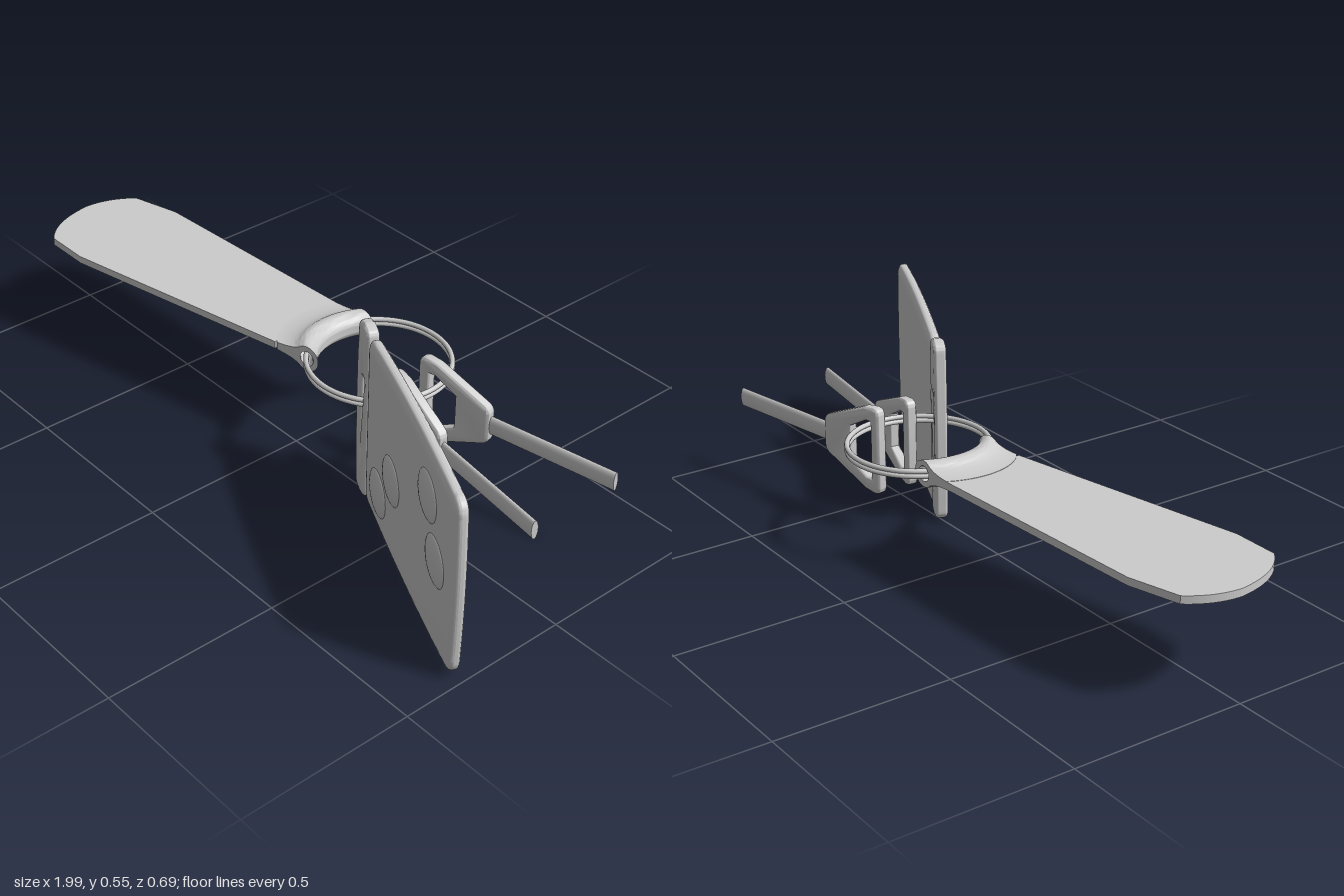
import * as THREE from 'three';
import { toCreasedNormals } from 'three/addons/utils/BufferGeometryUtils.js';

const material = new THREE.MeshStandardMaterial({ color: 0xcccccc });

function add(parent, name, geometry, x = 0, y = 0, z = 0) {
  const mesh = new THREE.Mesh(geometry, material);
  mesh.name = name;
  mesh.position.set(x, y, z);
  parent.add(mesh);
  return mesh;
}

// Rectangle with soft corners and slightly bulging sides
function pillow(Target, x0, x1, y0, y1, r, bulgeL, bulgeR, bulgeY) {
  const s = new Target(), mx = (x0 + x1) / 2, my = (y0 + y1) / 2;
  s.moveTo(x0 + r, y0);
  s.quadraticCurveTo(mx, y0 - bulgeY, x1 - r, y0);
  s.quadraticCurveTo(x1, y0, x1, y0 + r);
  s.quadraticCurveTo(x1 + bulgeR, my, x1, y1 - r);
  s.quadraticCurveTo(x1, y1, x1 - r, y1);
  s.quadraticCurveTo(mx, y1 + bulgeY, x0 + r, y1);
  s.quadraticCurveTo(x0, y1, x0, y1 - r);
  s.quadraticCurveTo(x0 - bulgeL, my, x0, y0 + r);
  s.quadraticCurveTo(x0, y0, x0 + r, y0);
  return s;
}

// Plate centred on z = 0 whose bevel stays inside the outline
function plate(shape, thickness, bevel, bevelDepth) {
  const depth = thickness - 2 * bevelDepth;
  const g = new THREE.ExtrudeGeometry(shape, {
    depth, bevelSize: bevel, bevelOffset: -bevel, bevelThickness: bevelDepth,
    bevelSegments: 5, curveSegments: 12,
  });
  g.translate(0, 0, -depth / 2);
  return toCreasedNormals(g, 0.7);
}

function makeStrap() {
  const strap = new THREE.Group();
  strap.name = 'strap';

  // Flat tongue
  const s = new THREE.Shape();
  s.moveTo(-0.06, -0.235);
  s.lineTo(-0.8, -0.195);
  s.lineTo(-0.945, -0.155);
  s.quadraticCurveTo(-0.998, -0.09, -1, -0.01);
  s.quadraticCurveTo(-0.985, 0.12, -0.905, 0.175);
  s.lineTo(-0.77, 0.175);
  s.lineTo(-0.06, 0.026);
  const tongue = new THREE.ExtrudeGeometry(s, { depth: 0.022, bevelEnabled: false });
  tongue.rotateX(Math.PI / 2);
  add(strap, 'strapTongue', toCreasedNormals(tongue, 0.5), 0, 0.318, 0);

  // Hollow folded end, bent to follow the ring
  const p = new THREE.Shape();
  p.moveTo(-0.1, 0.012);
  p.lineTo(-0.1, -0.012);
  p.quadraticCurveTo(-0.05, -0.014, -0.027, -0.027);
  p.absarc(0, 0, 0.038, -Math.PI * 0.75, Math.PI * 0.75, false);
  p.quadraticCurveTo(-0.05, 0.014, -0.1, 0.012);
  p.holes.push(new THREE.Path().absarc(0, 0, 0.022, 0, Math.PI * 2, true));
  const fold = new THREE.ExtrudeGeometry(p, { depth: 1, steps: 14, bevelEnabled: false, curveSegments: 20 });
  const pos = fold.attributes.position;
  for (let i = 0; i < pos.count; i++) {
    const t = pos.getZ(i), dz = -0.24 + 0.25 * t + 0.14;
    const x = pos.getX(i) + 0.18 - Math.sqrt(0.04 - dz * dz);
    pos.setX(i, x);
    pos.setZ(i, THREE.MathUtils.lerp(-0.238 - 0.05 * x, 0.013 - 0.21 * x, t));
  }
  add(strap, 'strapFold', toCreasedNormals(fold, 0.7), 0, 0.307, 0);
  return strap;
}

function makeFob() {
  const fob = new THREE.Group();
  fob.name = 'remoteFob';
  fob.position.set(0.622, 0.279, 0.16);
  fob.rotation.y = -0.443;

  add(fob, 'fobBody', plate(
    pillow(THREE.Shape, -0.318, 0.402, -0.262, 0.262, 0.05, 0, 0.016, 0.026), 0.038, 0.035, 0.015));

  // Slotted end that hangs on the ring
  const end = pillow(THREE.Shape, -0.4, -0.317, -0.268, 0.268, 0.03, 0.02, 0, 0.006);
  end.holes.push(pillow(THREE.Path, -0.367, -0.336, -0.107, 0.107, 0.012, 0, 0, 0));
  add(fob, 'fobEnd', plate(end, 0.036, 0.012, 0.012));

  // Domed push buttons
  for (const [x, y] of [[0.198, 0.137], [0.27, -0.005], [-0.083, -0.03], [-0.19, -0.149]]) {
    const button = add(fob, 'button', new THREE.SphereGeometry(1, 32, 16), x, y, 0.017);
    button.scale.set(0.07, 0.068, 0.014);
  }
  return fob;
}

function makeKey(name, z, angle) {
  const key = new THREE.Group();
  key.name = name;
  key.position.set(0.305, 0.25, z);
  key.rotation.y = angle;

  // Tapered head with a tapered window
  const s = new THREE.Shape();
  s.moveTo(0.025, -0.13);
  s.lineTo(0.06, -0.125);
  s.lineTo(0.215, -0.06);
  s.quadraticCurveTo(0.23, -0.05, 0.23, -0.035);
  s.lineTo(0.23, 0.035);
  s.quadraticCurveTo(0.23, 0.05, 0.215, 0.06);
  s.lineTo(0.06, 0.125);
  s.lineTo(0.025, 0.13);
  s.quadraticCurveTo(0, 0.13, 0, 0.105);
  s.lineTo(0, -0.105);
  s.quadraticCurveTo(0, -0.13, 0.025, -0.13);
  const hole = new THREE.Path();
  hole.moveTo(0.035, -0.085);
  hole.lineTo(0.035, 0.085);
  hole.lineTo(0.055, 0.085);
  hole.lineTo(0.12, 0.05);
  hole.lineTo(0.12, -0.05);
  hole.lineTo(0.055, -0.085);
  hole.closePath();
  s.holes.push(hole);
  add(key, 'keyHead', plate(s, 0.032, 0.009, 0.009));

  // Flattened round shaft
  const shaft = new THREE.CylinderGeometry(0.028, 0.028, 0.42, 32);
  shaft.rotateZ(-Math.PI / 2);
  shaft.scale(1, 1, 0.38);
  add(key, 'keyShaft', shaft, 0.4, 0, 0);
  return key;
}

export function createModel() {
  const model = new THREE.Group();
  model.name = 'keyRing';

  // Split ring as two stacked coils
  for (const y of [0.299, 0.313]) {
    const coil = new THREE.TorusGeometry(0.197, 0.0072, 12, 80);
    coil.rotateX(Math.PI / 2);
    add(model, 'ringCoil', coil, 0.18, y, -0.14);
  }

  model.add(makeStrap(), makeFob());
  model.add(makeKey('frontKey', -0.079, -0.138), makeKey('backKey', -0.179, 0.183));
  return model;
}
